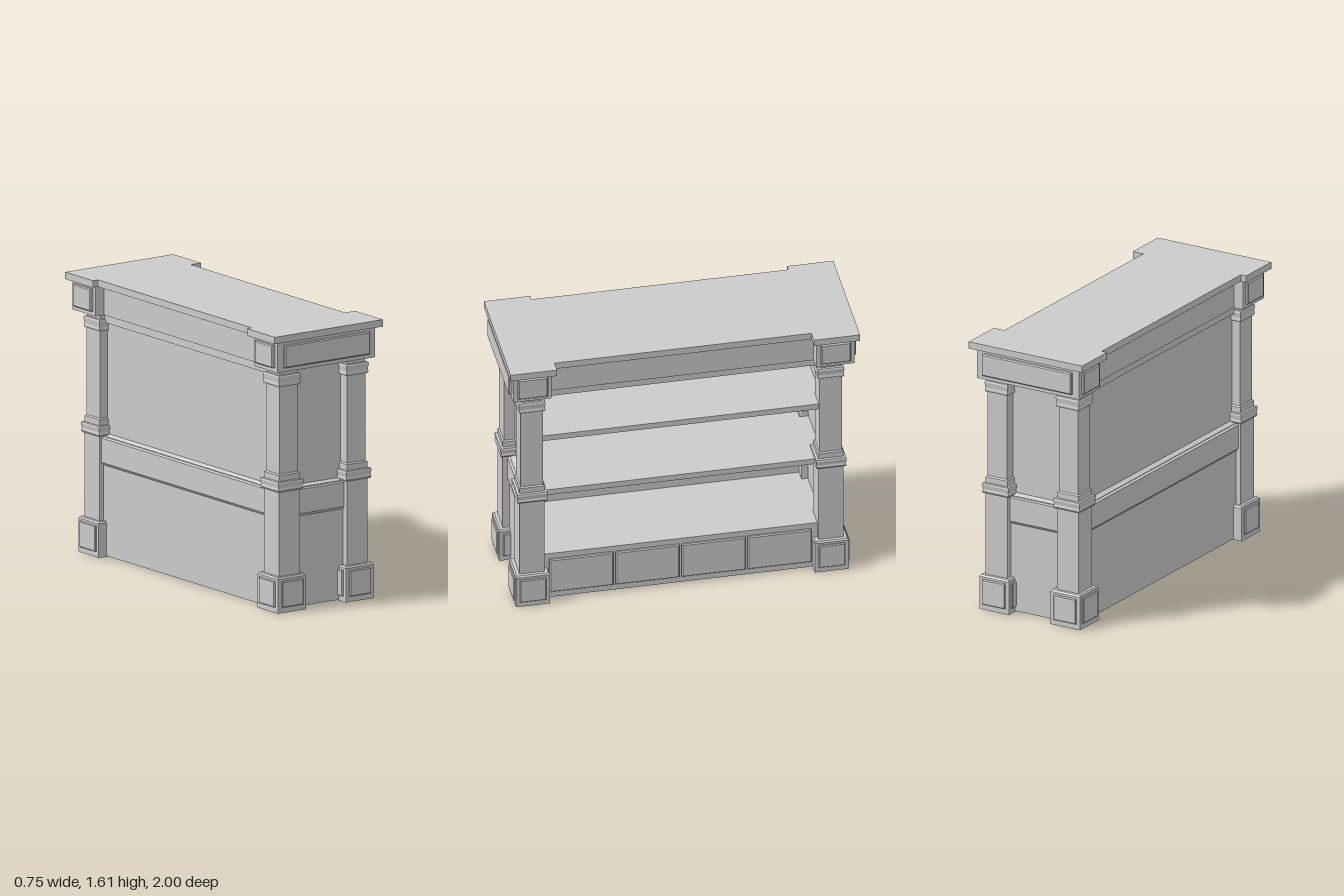
import * as THREE from 'three';

const material = new THREE.MeshStandardMaterial({ color: 0xcccccc, flatShading: true, side: THREE.DoubleSide });

export function createModel() {
  const model = new THREE.Group();
  const CX = 0.0075, CZ = 0.01; // centre of the carcass under the top slab

  const add = (name, geometry) => {
    const mesh = new THREE.Mesh(geometry, material);
    mesh.name = name;
    model.add(mesh);
    return mesh;
  };

  // Box given by its limits on each axis
  const box = (name, x0, x1, y0, y1, z0, z1) => {
    const mesh = add(name, new THREE.BoxGeometry(x1 - x0, y1 - y0, z1 - z0));
    mesh.position.set((x0 + x1) / 2, (y0 + y1) / 2, (z0 + z1) / 2);
    return mesh;
  };

  // Raised panel with bevelled edges; it faces +z before turning by angle
  const panel = (name, w, h, depth, x, y, z, angle) => {
    const b = Math.min(0.006, depth / 2);
    const a = w / 2 - b, c = h / 2 - b;
    const shape = new THREE.Shape([[-a, -c], [a, -c], [a, c], [-a, c]].map(p => new THREE.Vector2(...p)));
    const geometry = new THREE.ExtrudeGeometry(shape, {
      depth: depth - b, bevelEnabled: true, bevelSize: b, bevelThickness: b, bevelSegments: 1,
    });
    const mesh = add(name, geometry);
    mesh.position.set(x, y, z);
    mesh.rotation.y = angle;
    return mesh;
  };

  // Moulded rail: bevelled profile swept along its length, facing +z before turning
  const rail = (name, length, x, z, angle, depth) => {
    const profile = [[-0.03, 0.525], [depth - 0.012, 0.525], [depth, 0.54], [depth, 0.68], [-0.03, 0.7]];
    const shape = new THREE.Shape(profile.map(p => new THREE.Vector2(...p)));
    const geometry = new THREE.ExtrudeGeometry(shape, { depth: length, bevelEnabled: false });
    geometry.translate(0, 0, -length / 2).rotateY(-Math.PI / 2);
    const mesh = add(name, geometry);
    mesh.position.set(x, 0, z);
    mesh.rotation.y = angle;
  };

  // Square columns: half widths and heights from the hollow foot to the capital
  const columnProfile = [
    [0.0975, 0], [0.0975, 0.195], [0.09, 0.205], [0.072, 0.205],
    [0.072, 0.688], [0.082, 0.69], [0.087, 0.7], [0.083, 0.715], [0.088, 0.74], [0.085, 0.75],
    [0.072, 0.752], [0.072, 0.785], [0.064, 0.792],
    [0.064, 1.293], [0.072, 1.295], [0.076, 1.305], [0.073, 1.32], [0.077, 1.35], [0.073, 1.36],
    [0.062, 1.362], [0.062, 1.39],
  ].map(([r, y]) => new THREE.Vector2(r * Math.SQRT2, y));
  for (const sx of [-1, 1]) {
    for (const sz of [-1, 1]) {
      const x = CX + sx * 0.235, z = CZ + sz * 0.855;
      add('column', new THREE.LatheGeometry(columnProfile, 4, Math.PI / 4)).position.set(x, 0, z);
      // Raised panels on the foot
      for (const side of [-1, 1]) {
        panel('footSidePanel', 0.15, 0.15, 0.01, x + side * 0.0975, 0.107, z, side * Math.PI / 2);
      }
      panel('footEndPanel', 0.15, 0.15, 0.01, x, 0.107, z + sz * 0.0975, sz > 0 ? 0 : Math.PI);
    }
  }

  // Top slab, wider over both ends
  const outline = [
    [-0.375, -1], [0.375, -1], [0.375, -0.735], [0.305, -0.735], [0.305, 0.735], [0.375, 0.735],
    [0.375, 1], [-0.375, 1], [-0.375, 0.735], [-0.34, 0.735], [-0.34, -0.735], [-0.375, -0.735],
  ];
  const slab = new THREE.Shape(outline.map(([x, z]) => new THREE.Vector2(x, -z)));
  const top = add('topSlab', new THREE.ExtrudeGeometry(slab, { depth: 0.04, bevelEnabled: false }));
  top.rotation.x = -Math.PI / 2;
  top.position.y = 1.565;

  // Frieze: long centre, end blocks with raised panels
  box('frieze', -0.28, 0.26, 1.39, 1.565, -0.77, 0.77);
  for (const s of [-1, 1]) {
    const mid = s * 0.867;
    box('friezeEndBlock', -0.34, 0.335, 1.39, 1.565, mid - 0.11, mid + 0.11);
    panel('friezeEndPanel', 0.59, 0.13, 0.018, -0.003, 1.48, s * 0.977, s > 0 ? 0 : Math.PI);
    panel('friezeFacePanel', 0.17, 0.13, 0.018, 0.335, 1.48, mid, Math.PI / 2);
    panel('friezeBackPanel', 0.17, 0.13, 0.018, -0.34, 1.48, mid, -Math.PI / 2);
  }

  // End walls with a moulded rail at mid height
  for (const s of [-1, 1]) {
    const span = (a, b) => [CZ + s * a, CZ + s * b].sort((p, q) => p - q);
    box('upperEndWall', -0.23, 0.24, 0.69, 1.39, ...span(0.82, 0.855));
    box('lowerEndWall', -0.23, 0.24, 0.005, 0.69, ...span(0.82, 0.888));
    rail('endRail', 0.47, CX, CZ + s * 0.888, s > 0 ? -Math.PI / 2 + Math.PI / 2 : Math.PI, 0.012);
  }

  // Back wall with its rail
  box('upperBackWall', -0.24, -0.215, 0.69, 1.39, CZ - 0.84, CZ + 0.84);
  box('lowerBackWall', -0.272, -0.225, 0.005, 0.69, CZ - 0.84, CZ + 0.84);
  rail('backRail', 1.66, -0.272, CZ, -Math.PI / 2, 0.015);

  // Strips under the frieze
  box('frontTopStrip', 0.205, 0.24, 1.34, 1.39, CZ - 0.82, CZ + 0.82);
  box('backTopStrip', -0.26, -0.22, 1.34, 1.39, CZ - 0.82, CZ + 0.82);

  // Shelves
  for (const [y0, y1] of [[0.28, 0.3], [0.7, 0.735], [1.07, 1.105]]) {
    box('shelf', -0.23, 0.285, y0, y1, CZ - 0.795, CZ + 0.795);
    box('shelfEnds', -0.16, 0.175, y0, y1, CZ - 0.825, CZ + 0.825);
  }

  // Front base board with four drawer fronts
  box('baseBoard', 0.25, 0.285, 0.005, 0.28, CZ - 0.79, CZ + 0.79);
  for (let i = 0; i < 4; i++) {
    panel('drawerFront', 0.366, 0.22, 0.015, 0.285, 0.155, 0.578 - i * 0.378, Math.PI / 2);
  }

  return model;
}
